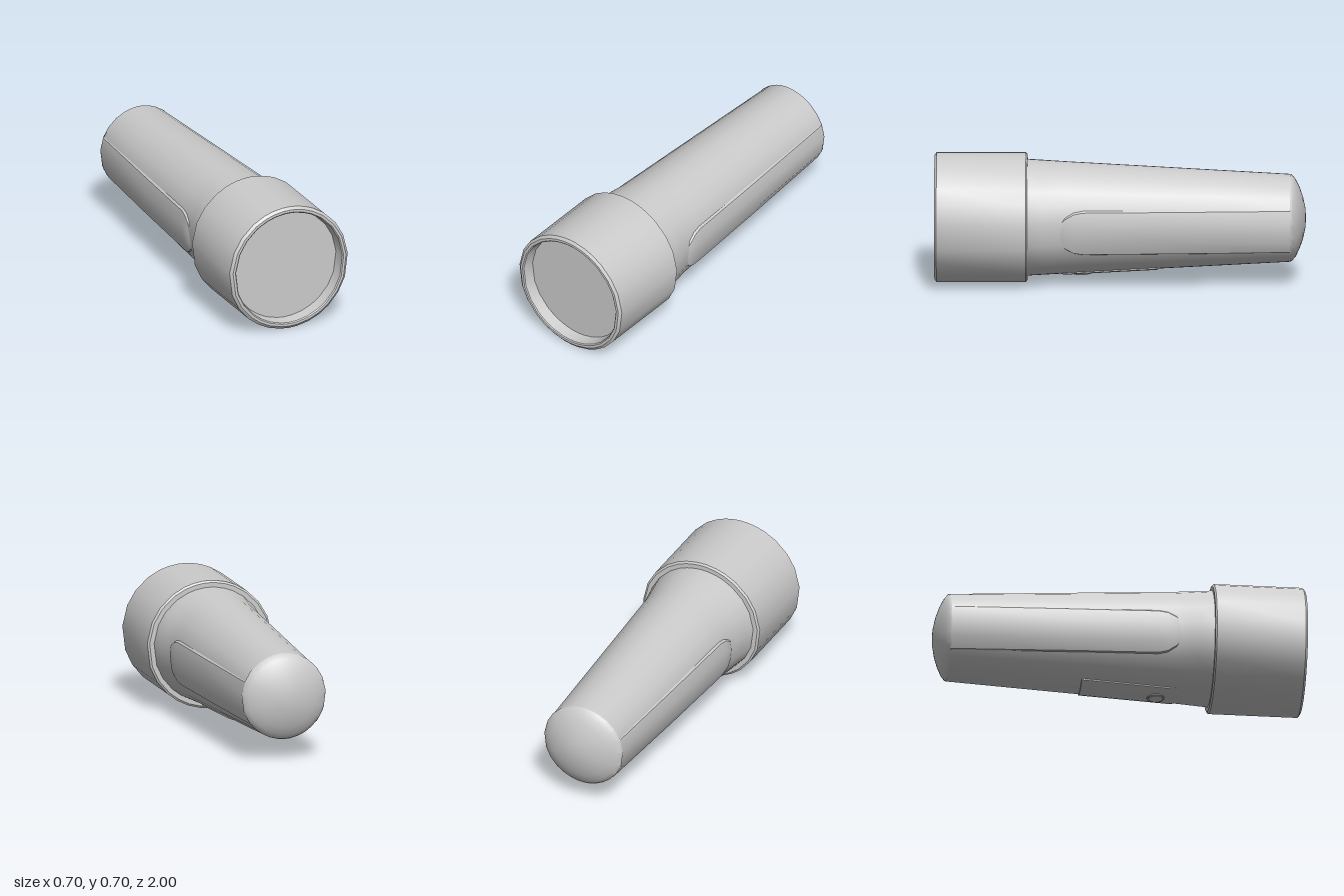
import * as THREE from 'three';
import { toCreasedNormals, mergeVertices } from 'three/addons/utils/BufferGeometryUtils.js';

const CY = 0.353;
const material = new THREE.MeshStandardMaterial({ color: 0xcccccc, side: THREE.DoubleSide });

// Corner angles of every round section, right half mirrored to the left
const right = [-82, -70, -59, -48, -33, -18, 4, 23, 38, 54, 66, 75, 84];
const angles = [-90, ...right, 90, ...right.map((a) => 180 - a).reverse(), 270]
  .map(THREE.MathUtils.degToRad);

const lerp = THREE.MathUtils.lerp;
const bodyRadius = (z) => lerp(0.237, 0.315, (z + 0.92) / 1.42);
// The grip is squeezed a little in width behind the neck
const squeeze = (z) => (z > 0.3 ? lerp(0.92, 1, (z - 0.3) / 0.2) : lerp(0.97, 0.92, (z + 0.92) / 1.22));
const bodyX = (y, z) => squeeze(z) * Math.sqrt(bodyRadius(z) ** 2 - (y - CY) ** 2);

// Skin over a list of sections, each a list of [x, y, z]
function loft(sections) {
  const n = sections[0].length;
  const index = [];
  for (let i = 0; i < sections.length - 1; i++) {
    for (let j = 0; j < n - 1; j++) {
      const a = i * n + j, c = a + n;
      index.push(a, c, a + 1, a + 1, c, c + 1);
    }
  }
  const g = new THREE.BufferGeometry();
  g.setAttribute('position', new THREE.Float32BufferAttribute(sections.flat(2), 3));
  g.setIndex(index);
  return toCreasedNormals(mergeVertices(g), 0.55);
}

const ring = (z, r, sx = 1) => angles.map((a) => [r * sx * Math.cos(a), CY + r * Math.sin(a), z]);

export function createModel() {
  const group = new THREE.Group();
  const add = (name, geometry) => {
    const mesh = new THREE.Mesh(geometry, material);
    mesh.name = name;
    group.add(mesh);
    return mesh;
  };

  // Head with bevelled rims and a recessed lens
  add('head', loft([
    [0.93, 0.308], [0.995, 0.316], [1, 0.322], [1, 0.336], [0.988, 0.351],
    [0.508, 0.351], [0.5, 0.34], [0.5, 0.3],
  ].map(([z, r]) => ring(z, r))));
  add('lens', loft([ring(0.93, 0.0005), ring(0.93, 0.309)]));

  // Tapered body
  add('body', loft([0.5, 0.42, 0.36, 0.3, 0.2, -0.2, -0.6, -0.92]
    .map((z) => ring(z, bodyRadius(z), squeeze(z)))));

  // Domed end cap
  add('endCap', loft([
    [-0.915, 0.236], [-0.925, 0.232], [-0.945, 0.207], [-0.965, 0.166],
    [-0.983, 0.115], [-0.996, 0.055], [-1, 0.0005],
  ].map(([z, r]) => ring(z, r))));

  // Flat grip panel on each side, with a rounded, softly raised front end
  for (const side of [1, -1]) {
    const rows = [[0.32, 0.45, -0.005], [0.295, 0.7, 0.006], [0.25, 0.92, 0.009], [0.2, 1, 0.009],
      [-0.3, 1, 0.008], [-0.92, 1, 0.004]];
    const columns = [[-0.125, -0.004], [-0.12, 1], [-0.06, 1], [0.045, 1], [0.115, 0.7], [0.125, -0.5]];
    const sections = rows.map(([z, spread, lift]) => {
      const row = columns.map(([dy, k]) => {
        const y = 0.325 + dy * spread;
        return [side * (bodyX(y, z) + (k < 0 ? -0.004 : lift * k)), y, z];
      });
      return side > 0 ? row : row.reverse();
    });
    add(side > 0 ? 'leftGripPanel' : 'rightGripPanel', loft(sections));
  }

  // Thin switch plate wrapped under the body
  const plateRow = (z, lift) => [-1, -0.98, -0.65, -0.33, 0, 0.33, 0.65, 0.98, 1].map((t) => {
    const a = Math.asin((0.108 * t) / bodyRadius(z));
    const r = bodyRadius(z) + (Math.abs(t) === 1 ? -0.006 : lift);
    return [r * squeeze(z) * Math.sin(a), CY - r * Math.cos(a), z];
  });
  add('switchPlate', loft([
    plateRow(0.33, -0.006), plateRow(0.3, 0.006), plateRow(0.05, 0.006),
    plateRow(-0.2, 0.006), plateRow(-0.203, -0.006),
  ]));

  // Push button with its rim
  const button = add('switchButton', new THREE.CylinderGeometry(0.045, 0.038, 0.02, 20));
  button.position.set(0, 0.053, 0.21);
  const rim = add('switchRim', new THREE.TorusGeometry(0.046, 0.004, 6, 20));
  rim.rotation.x = Math.PI / 2;
  rim.position.set(0, 0.048, 0.21);

  return group;
}
